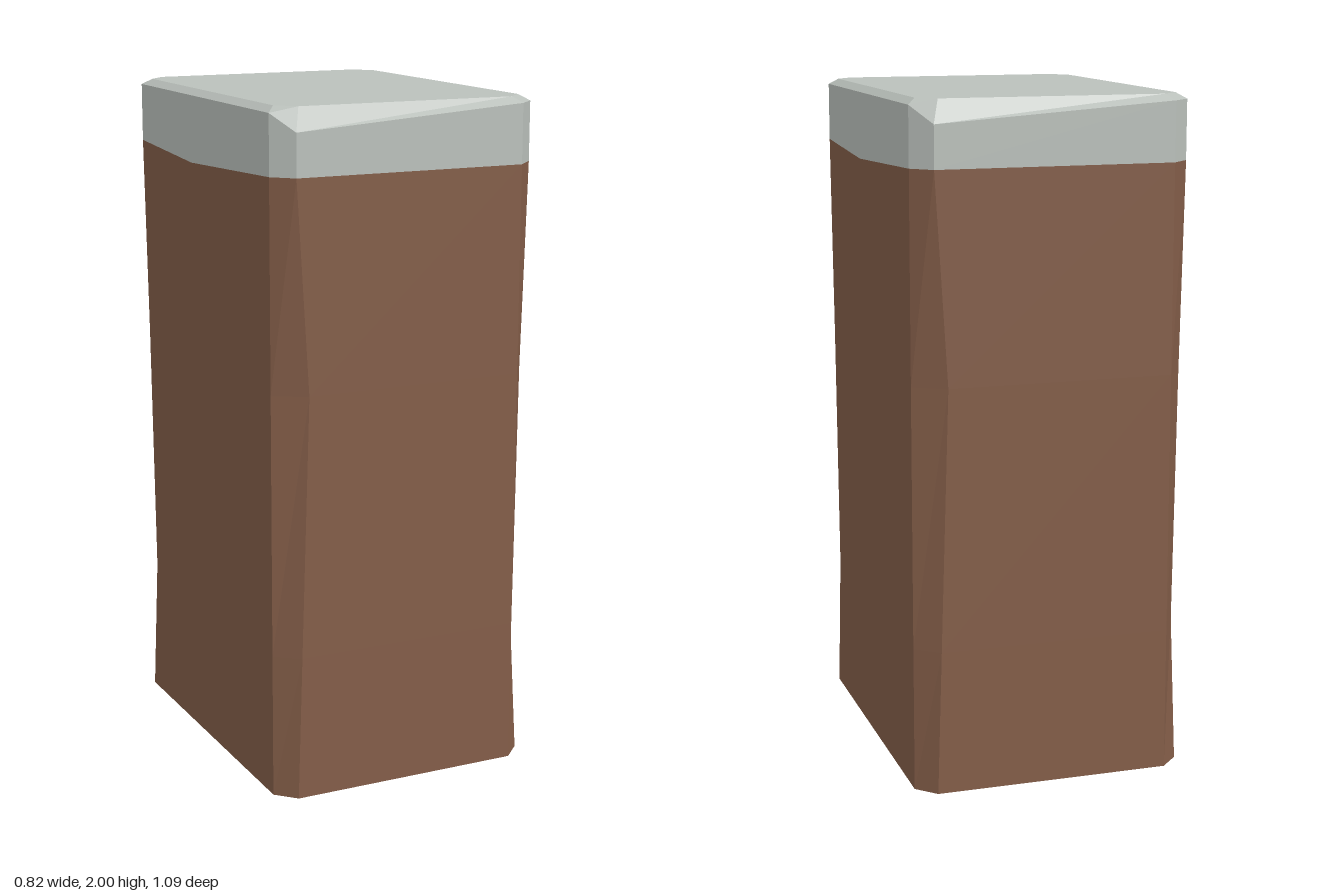
import * as THREE from 'three';

// Full ring from half of it: the block repeats after half a turn about y.
// Half ring order: front corner, side front, side middle, side back, back corner.
const ring = (half) => [...half, ...half.map(([x, y, z]) => [-x, y, -z])];

// Wall ring at one height; sideZ and backX are the worn corner edges,
// sag lowers the middle of the long sides, chip lowers one end of the short sides.
const wall = (y, sideZ = 0.487, backX = 0.352, sag = 0, chip = 0) => ring([
  [0.352, y, 0.543], [0.408, y, sideZ], [0.408, y - sag, 0.08],
  [0.408, y, -0.487], [backX, y - chip, -0.543],
]);

// Flat-faceted surface through a stack of rings, with optional end caps
function loft(name, rings, material, { bottom = false, top = false }) {
  const pos = [];
  const tri = (...points) => points.forEach((p) => pos.push(...p));
  for (let r = 0; r < rings.length - 1; r++) {
    const lo = rings[r], hi = rings[r + 1];
    for (let i = 0; i < lo.length; i++) {
      const j = (i + 1) % lo.length;
      tri(lo[i], lo[j], hi[j]);
      tri(lo[i], hi[j], hi[i]);
    }
  }
  const first = rings[0], last = rings[rings.length - 1];
  for (let i = 0; i < first.length; i++) {
    const j = (i + 1) % first.length;
    if (bottom) tri([0, first[0][1], 0], first[j], first[i]);
    if (top) tri([0, last[0][1], 0], last[i], last[j]);
  }
  const geometry = new THREE.BufferGeometry();
  geometry.setAttribute('position', new THREE.Float32BufferAttribute(pos, 3));
  geometry.computeVertexNormals();
  const mesh = new THREE.Mesh(geometry, material);
  mesh.name = name;
  return mesh;
}

export function createModel() {
  const earth = new THREE.MeshStandardMaterial({ color: 0x835d48 });
  earth.name = 'brown earth';
  const stone = new THREE.MeshStandardMaterial({ color: 0xbac0bb });
  stone.name = 'pale grey';

  const group = new THREE.Group();
  group.name = 'chamferedBlock';

  // Tall brown body with two kinds of worn corner
  const seam = wall(1.81, 0.487, 0.352, 0.025);
  group.add(loft('body', [
    wall(0),
    wall(0.43, 0.44, 0.339),
    wall(1.2, 0.461, 0.315),
    seam,
  ], earth, { bottom: true }));

  // Pale cap with a bevelled, slightly chipped rim
  group.add(loft('cap', [
    seam,
    wall(1.983, 0.487, 0.352, 0, 0.05),
    ring([
      [0.332, 2, 0.513], [0.383, 2, 0.46], [0.383, 2, 0.08],
      [0.383, 2, -0.46], [0.332, 2, -0.513],
    ]),
  ], stone, { top: true }));

  return group;
}
